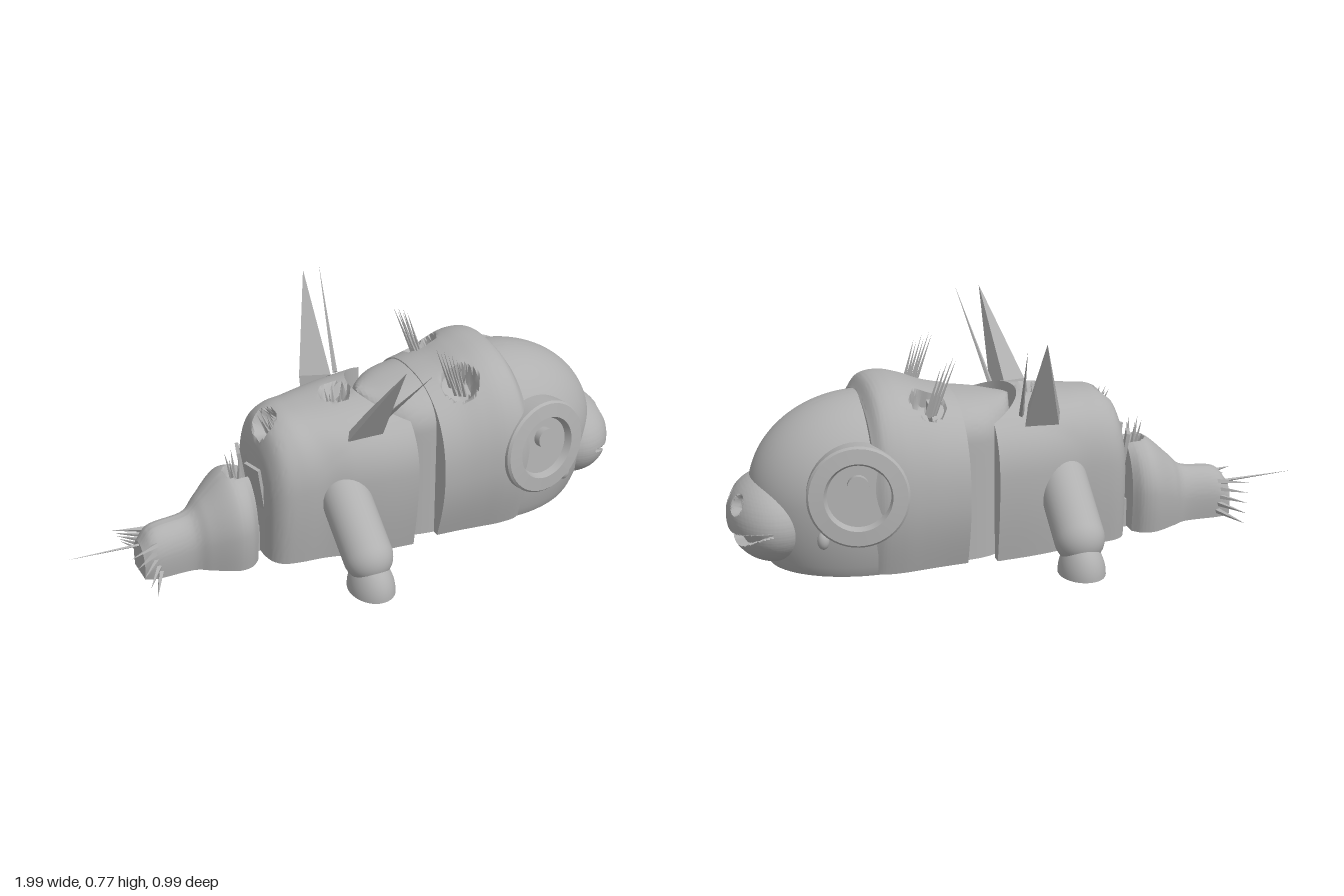
import * as THREE from 'three';
import { toCreasedNormals } from 'three/addons/utils/BufferGeometryUtils.js';

const FLOOR = 0.003;
const V = (x, y, z) => new THREE.Vector3(x, y, z);

export function createModel() {
  const model = new THREE.Group();
  model.name = 'articulatedCreature';
  const grey = new THREE.MeshStandardMaterial({ color: 0xb0b0b0 });
  grey.name = 'plain grey';
  grey.side = THREE.DoubleSide;

  const add = (name, geo, parent = model) => {
    const mesh = new THREE.Mesh(geo, grey);
    mesh.name = name;
    parent.add(mesh);
    return mesh;
  };

  // Arch-section body along x; stations are [x, half width, height]
  function loft(stations, { base = 0.85, mid = 0.5, power = 0.85, steps = 44, warp = (x) => x } = {}) {
    const curve = new THREE.CatmullRomCurve3(stations.map((s) => V(...s)), false, 'centripetal');
    const N = 64, ring = 2 * (N + 1), pos = [], idx = [];
    for (let i = 0; i <= steps; i++) {
      const { x, y: w, z: h } = curve.getPoint(i / steps);
      const wb = w * base, m = h * mid, under = [];
      for (let j = 0; j <= N; j++) {
        const t = j / N, flank = 0.12;
        let z, y;
        if (t < flank || t > 1 - flank) {
          const k = Math.min(t, 1 - t) / flank;
          z = (wb + (w - wb) * Math.sin(k * Math.PI / 2)) * (t < 0.5 ? 1 : -1);
          y = FLOOR + (m - FLOOR) * k;
        } else {
          const a = Math.PI * (t - flank) / (1 - 2 * flank), c = Math.cos(a);
          z = w * Math.sign(c) * Math.abs(c) ** power;
          y = m + (h - m) * Math.abs(Math.sin(a)) ** power;
        }
        pos.push(warp(x, z), y, z);
        const zb = THREE.MathUtils.clamp(z, -wb, wb);
        under.unshift([warp(x, zb), FLOOR, zb]);
      }
      pos.push(...under.flat());
    }
    for (let i = 0; i < steps; i++) for (let j = 0; j < ring; j++) {
      const a = i * ring + j, b = i * ring + (j + 1) % ring, c = a + ring, d = b + ring;
      idx.push(a, c, d, a, d, b);
    }
    // End caps join each arch point to the floor point beneath it
    for (let j = 0; j < N; j++) {
      const b0 = ring - 1 - j, b1 = b0 - 1, o = steps * ring;
      idx.push(b0, j + 1, b1, b0, j, j + 1);
      idx.push(o + b0, o + b1, o + j + 1, o + b0, o + j + 1, o + j);
    }
    const geo = new THREE.BufferGeometry();
    geo.setAttribute('position', new THREE.Float32BufferAttribute(pos, 3));
    geo.setIndex(idx);
    return geo;
  }

  // Apply a rule to every vertex, then smooth with sharp edges kept
  function shape(geo, rule = () => {}, crease = 0.6) {
    const p = geo.attributes.position, v = V(0, 0, 0);
    for (let i = 0; i < p.count; i++) {
      rule(v.fromBufferAttribute(p, i));
      p.setXYZ(i, v.x, v.y, v.z);
    }
    return toCreasedNormals(geo, crease);
  }
  const dent = (v, centre, r, push) => {
    const d = v.distanceTo(centre);
    if (d < r) v.addScaledVector(push, Math.min(1, (1 - d / r) * 3));
  };

  // Thin spike between two points
  function spike(name, from, to, r = 0.008, sides = 4) {
    const a = V(...from), b = V(...to), len = a.distanceTo(b);
    const geo = new THREE.ConeGeometry(r, len, sides).toNonIndexed();
    geo.computeVertexNormals();
    const mesh = add(name, geo);
    mesh.position.copy(a).lerp(b, 0.5);
    mesh.quaternion.setFromUnitVectors(V(0, 1, 0), b.sub(a).normalize());
  }

  // Neck with a rounded rear
  add('neck', shape(loft([[0.05, 0.02, 0.505], [0.065, 0.08, 0.51], [0.1, 0.132, 0.515], [0.16, 0.18, 0.525],
    [0.25, 0.2, 0.535], [0.35, 0.2, 0.54]], { base: 1, mid: 0.75 })));

  // Collar with a spine socket on each side
  add('collar', shape(loft([[0.25, 0.272, 0.54], [0.33, 0.28, 0.56], [0.4, 0.29, 0.588], [0.47, 0.3, 0.605],
    [0.53, 0.297, 0.595], [0.565, 0.28, 0.55]], { base: 0.82, mid: 0.45 }), (v) => {
    for (const s of [1, -1]) dent(v, V(0.36, 0.54, 0.15 * s), 0.065, V(0.01, -0.06, -0.03 * s));
  }));

  // Head dome, flat underneath
  add('head', shape(new THREE.SphereGeometry(1, 72, 60), (v) => {
    v.set(0.55 + v.x * 0.375, 0.24 + v.y * (v.y > 0 ? 0.315 : 0.45), v.z * 0.275);
    v.y = Math.max(v.y, 0);
  }));

  // Snout with nostrils and a smiling mouth groove
  add('snout', shape(new THREE.SphereGeometry(1, 150, 110), (v) => {
    v.set(0.855 + v.x * 0.145, 0.162 + v.y * 0.148, v.z * 0.2);
    if (v.x < 0.84) return;
    for (const s of [1, -1]) dent(v, V(0.975, 0.225, 0.062 * s), 0.036, V(-0.03, -0.005, 0));
    const k = (v.z / 0.195) ** 2;
    if (k < 1 && Math.abs(v.y - 0.103 - 0.055 * k) < 0.017 * (1 - k) + 0.005) {
      v.x -= 0.035;
      v.z *= 0.94;
    }
  }, 0.5));

  // Eyes: rimmed dish, pupil peg and a small bead
  for (const s of [1, -1]) {
    const eye = new THREE.Group();
    eye.name = s > 0 ? 'leftEye' : 'rightEye';
    const profile = [[0.165, -0.07], [0.165, 0.012], [0.158, 0.02], [0.11, 0.024], [0.1, 0], [0, 0]];
    const dish = new THREE.LatheGeometry(profile.map((q) => new THREE.Vector2(...q)), 48);
    add('eyeDish', toCreasedNormals(dish.rotateX(Math.PI / 2), 0.5), eye);
    const peg = new THREE.CylinderGeometry(0.035, 0.035, 0.03, 24).rotateX(Math.PI / 2);
    add('pupil', peg, eye).position.set(0, 0.035, 0.01);
    eye.position.set(0.62, 0.29, 0.268 * s);
    eye.lookAt(0.62 + 0.2, 0.29 + 0.1, (0.268 + 1) * s);
    model.add(eye);
    const bead = add('cheekBead', new THREE.SphereGeometry(0.02, 16, 12));
    bead.scale.y = 1.5;
    bead.position.set(0.73, 0.14, 0.235 * s);
  }

  // Middle body, hollowed at the front to receive the neck
  const front = (z) => (Math.abs(z) < 0.2 ? 0.25 - Math.sqrt(0.222 ** 2 - z * z) : 0.153);
  add('middleBody', shape(loft([[-0.33, 0.1, 0.34], [-0.315, 0.15, 0.41], [-0.28, 0.185, 0.47], [-0.22, 0.2, 0.5],
    [-0.14, 0.21, 0.508], [-0.06, 0.235, 0.512], [0.03, 0.255, 0.518], [0.153, 0.27, 0.525]],
  { base: 0.88, mid: 0.55, warp: (x, z) => -0.33 + (x + 0.33) / 0.483 * (front(z) + 0.33) }), (v) => {
    dent(v, V(-0.03, 0.512, 0), 0.055, V(0, -0.05, 0));
    dent(v, V(-0.285, 0.46, 0), 0.055, V(0.04, -0.03, 0));
  }));

  // Tail
  add('tail', shape(loft([[-0.74, 0.055, 0.12], [-0.7, 0.07, 0.168], [-0.57, 0.075, 0.19], [-0.52, 0.105, 0.235],
    [-0.43, 0.152, 0.31], [-0.39, 0.145, 0.312], [-0.36, 0.115, 0.305]], { base: 0.9, mid: 0.45, power: 1 }),
  (v) => dent(v, V(-0.39, 0.312, 0), 0.045, V(0, -0.04, 0))));
  add('tailLink', new THREE.BoxGeometry(0.1, 0.1, 0.1)).position.set(-0.335, 0.05, 0);
  for (const s of [1, -1]) {
    const plate = add('tailHingePlate', new THREE.BoxGeometry(0.012, 0.16, 0.07));
    plate.position.set(-0.345, 0.27, 0.06 * s);
    plate.rotation.set(0, 0.3 * s, 0.15);
  }

  for (const s of [1, -1]) {
    // Legs and flat-bottomed feet
    const a = V(-0.083, 0.245, 0.19 * s), b = V(-0.083, 0.108, 0.372 * s);
    const leg = add('leg', new THREE.CapsuleGeometry(0.083, a.distanceTo(b), 12, 32));
    leg.position.copy(a).lerp(b, 0.5);
    leg.quaternion.setFromUnitVectors(V(0, 1, 0), b.sub(a).normalize());
    add('foot', shape(new THREE.SphereGeometry(1, 36, 28), (v) =>
      v.set(-0.083 + v.x * 0.076, Math.max(0, v.y * 0.11), 0.397 * s + v.z * 0.098)));

    // Back blades: thin shards, with one long bristle
    const blade = new THREE.BufferGeometry().setFromPoints([
      V(-0.07, 0.44, 0.19 * s), V(0.05, 0.44, 0.2 * s), V(0.02, 0.5, 0.14 * s),
      V(-0.07, 0.485, 0.2 * s), V(0.035, 0.775, 0.395 * s)]);
    blade.setIndex([0, 1, 4, 1, 2, 4, 2, 3, 4, 3, 0, 4, 0, 2, 1, 0, 3, 2]);
    add('backBlade', shape(blade, () => {}, 0.1));
    spike('backBristle', [0.055, 0.48, 0.18 * s], [0.11, 0.765, 0.43 * s], 0.009);

    // Collar spine tufts
    for (let i = 0; i < 6; i++) {
      spike('collarSpine', [0.34 + 0.012 * (i % 3), 0.5, (0.13 + 0.01 * i) * s],
        [0.27 + 0.024 * (i % 3), 0.685 - 0.013 * (i % 3), (0.14 + 0.011 * i) * s], 0.007);
    }
    // Tail fan
    for (let i = 0; i < 5; i++) {
      spike('tailSpine', [-0.68, 0.03 + 0.025 * i, 0.045 * s],
        [-0.745 - 0.013 * i, 0.015 + 0.028 * i, (0.18 - 0.022 * i) * s], 0.012);
    }
  }
  spike('tailBristle', [-0.72, 0.11, 0], [-0.99, 0.122, 0], 0.006);

  // Small tufts in the sockets along the back
  for (let i = 0; i < 5; i++) {
    const c = Math.cos(i * 1.257), s = Math.sin(i * 1.257);
    spike('backTuft', [-0.03 + 0.015 * c, 0.45, 0.015 * s], [-0.035 + 0.03 * c, 0.53, 0.035 * s]);
    spike('rumpTuft', [-0.26 + 0.01 * c, 0.42, 0.015 * s], [-0.29 + 0.015 * c, 0.49, 0.03 * s]);
    spike('tailTuft', [-0.39 + 0.012 * c, 0.27, 0.015 * s], [-0.4 + 0.025 * c, 0.37, 0.035 * s]);
  }

  // Joint rings underneath
  for (const x of [0.2, -0.16]) for (const r of [0.035, 0.095]) {
    const ring = add('jointRing', new THREE.RingGeometry(r, r + 0.022, 40).rotateX(Math.PI / 2));
    ring.position.set(x, 0, 0);
  }
  return model;
}
